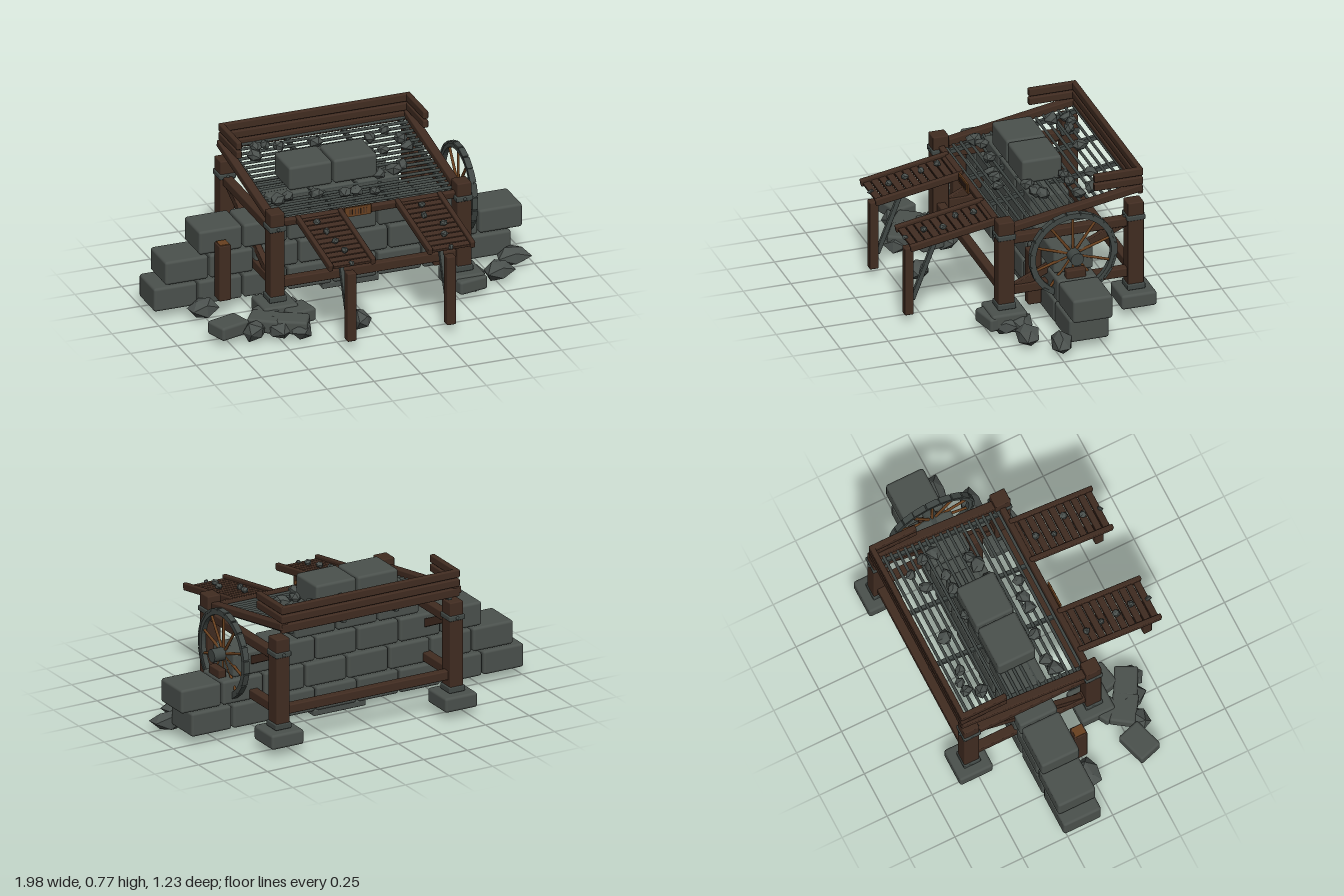
import * as THREE from 'three';
import { RoundedBoxGeometry } from 'three/addons/geometries/RoundedBoxGeometry.js';

export function createModel() {
  const root = new THREE.Group();
  const mat = (name, color, flatShading = false) => {
    const m = new THREE.MeshStandardMaterial({ color, flatShading });
    m.name = name;
    return m;
  };
  const stone = mat('stone', 0x4b514d);
  const rubble = mat('rubble stone', 0x4a504d, true);
  const wood = mat('dark wood', 0x412c21);
  const paleWood = mat('pale wood', 0x68401f);
  const metal = mat('iron', 0x414845);

  let seed = 7;
  const rnd = () => (seed = (seed * 16807) % 2147483647) / 2147483647;

  const add = (parent, name, geo, m, x = 0, y = 0, z = 0) => {
    const mesh = new THREE.Mesh(geo, m);
    mesh.name = name;
    mesh.position.set(x, y, z);
    parent.add(mesh);
    return mesh;
  };
  // Softened box given by its bounds
  const block = (parent, name, m, x0, x1, y0, y1, z0, z1, r = 0.006) => {
    const w = x1 - x0, h = y1 - y0, d = z1 - z0;
    const rad = Math.min(r, w * 0.3, h * 0.3, d * 0.3);
    return add(parent, name, new RoundedBoxGeometry(w, h, d, 2, rad), m,
      (x0 + x1) / 2, (y0 + y1) / 2, (z0 + z1) / 2);
  };
  // Beam in the side plane between two (z, y) points
  const strut = (name, m, x, w, h, z0, y0, z1, y1) => {
    const len = Math.hypot(z1 - z0, y1 - y0);
    const b = add(root, name, new RoundedBoxGeometry(w, h, len, 2, 0.004), m, x, (y0 + y1) / 2, (z0 + z1) / 2);
    b.rotation.x = -Math.atan2(y1 - y0, z1 - z0);
    return b;
  };
  // Faceted stone, with jitter that is shared by coincident corners
  const rock = (parent, name, x, y, z, sx, sy, sz, turn = rnd() * 6) => {
    const geo = new THREE.IcosahedronGeometry(1, 0);
    const p = geo.attributes.position;
    const k = rnd() * 10;
    for (let i = 0; i < p.count; i++) {
      const f = 0.9 + 0.14 * Math.sin(p.getX(i) * 4 + p.getY(i) * 7 + p.getZ(i) * 5 + k);
      p.setXYZ(i, p.getX(i) * f * sx, p.getY(i) * f * sy, p.getZ(i) * f * sz);
    }
    geo.computeVertexNormals();
    add(parent, name, geo, rubble, x, y, z).rotation.y = turn;
  };

  // Stepped masonry wall: first x, number of blocks, bottom y
  const wall = new THREE.Group();
  wall.name = 'stoneWall';
  root.add(wall);
  const bw = 0.239;
  [[-1, 8, 0.06], [-0.94, 8, 0.195], [-0.76, 6, 0.33], [-0.4, 3, 0.465], [-0.28, 2, 0.6]].forEach(([x, n, y]) => {
    for (let i = 0; i < n; i++)
      block(wall, 'wallBlock', stone, x + i * bw, x + i * bw + 0.23, y, y + 0.126, -0.27, -0.062, 0.014);
  });
  block(wall, 'footingSlab', stone, -0.1, 0.2, 0.03, 0.062, -0.26, -0.07);

  // Corner posts with footings, iron shoes and straps
  for (const x of [-0.445, 0.55]) {
    for (const z of [0.158, -0.52]) {
      block(root, 'post', wood, x - 0.038, x + 0.038, 0.14, 0.615, z - 0.042, z + 0.042);
      block(root, 'postShoe', metal, x - 0.046, x + 0.046, 0.135, 0.167, z - 0.047, z + 0.047);
      block(root, 'postStrap', metal, x - 0.045, x + 0.045, 0.517, 0.545, z - 0.048, z + 0.048);
      for (const s of [-1, 1])
        add(root, 'strapBolt', new THREE.SphereGeometry(0.009, 8, 6), metal, x, 0.531, z + s * 0.048);
      block(root, 'postFooting', stone, x - 0.092, x + 0.092, 0.055, 0.133, z - 0.092, z + 0.092, 0.014);
    }
    block(root, 'upperSideBeam', wood, x - 0.024, x + 0.024, 0.483, 0.53, -0.5, 0.14);
    block(root, 'lowerSideBeam', wood, x - 0.024, x + 0.024, 0.203, 0.252, -0.5, 0.14);
    strut('sideBrace', wood, x, 0.032, 0.042, 0.1, 0.235, -0.48, 0.505);
  }
  for (const z of [0.158, -0.52])
    block(root, 'crossBeam', wood, -0.42, 0.53, 0.2, 0.248, z - 0.022, z + 0.022);

  // Short stakes in front of the wall
  block(root, 'stake', wood, -0.685, -0.622, 0.1, 0.4, -0.05, 0.02);
  block(root, 'stake', wood, 0.46, 0.515, 0.1, 0.4, -0.05, 0.02);
  add(root, 'stakeTop', new THREE.BoxGeometry(0.05, 0.006, 0.056), paleWood, -0.653, 0.401, -0.015);

  // Sloping sieve; the tilted group has z running along the slope
  const slope = 0.175, angle = Math.atan(slope), lineY = z => 0.475 + (0.61 - z) * slope;
  const tilted = (name, zMid) => {
    const g = new THREE.Group();
    g.name = name;
    g.position.set(0, lineY(zMid), zMid);
    g.rotation.x = angle;
    root.add(g);
    return g;
  };
  const sieve = tilted('sieve', -0.19);
  for (const x of [-0.448, 0.545])
    block(sieve, 'sieveRail', wood, x - 0.022, x + 0.022, -0.019, 0.019, -0.38, 0.37);
  block(sieve, 'sieveFrontRail', wood, -0.44, 0.54, -0.03, 0.008, 0.335, 0.365);
  for (const x of [-0.405, -0.1, 0.2, 0.505])
    block(sieve, 'barSupport', metal, x - 0.011, x + 0.011, -0.045, -0.021, -0.375, 0.33, 0.003);
  for (let i = 0; i < 18; i++) {
    const bar = add(sieve, 'sieveBar', new THREE.CylinderGeometry(0.008, 0.008, 0.96, 8), metal, 0.05, -0.016, -0.355 + i * 0.04);
    bar.rotation.z = Math.PI / 2;
  }

  // Level boards round the high end
  [[0.645, 0.69], [0.697, 0.737], [0.745, 0.786]].forEach(([y0, y1], i) => {
    block(root, 'backBoard', wood, -0.46, 0.56, y0, y1, -0.567, -0.54);
    if (i) for (const x of [-0.447, 0.547])
      block(root, 'sideBoard', wood, x - 0.014, x + 0.014, y0, y1, -0.567, -0.312);
  });

  // Plain plaque at the front
  block(root, 'plaque', paleWood, -0.08, 0.06, 0.525, 0.577, 0.172, 0.182, 0.002);
  for (let i = 0; i < 7; i++)
    add(root, 'plaqueGroove', new THREE.BoxGeometry(0.004, 0.028, 0.003), wood, -0.055 + i * 0.015, 0.551, 0.183);

  // Two delivery chutes with legs
  for (const x of [-0.21, 0.32]) {
    const chute = tilted('chute', 0.38);
    chute.position.x = x;
    for (const s of [-1, 1])
      block(chute, 'chuteRail', wood, s * 0.113 - 0.012, s * 0.113 + 0.012, -0.02, 0.018, -0.234, 0.234);
    for (let i = 0; i < 11; i++)
      block(chute, 'chuteSlat', wood, -0.105, 0.105, -0.014, 0.001, -0.23 + i * 0.0418, -0.193 + i * 0.0418, 0.003);
    for (let i = 0; i < 4; i++)
      rock(chute, 'chutePebble', (rnd() - 0.5) * 0.08, 0.015, -0.15 + i * 0.09, 0.021, 0.02, 0.021);
    rock(chute, 'chutePebble', 0, 0, 0.22, 0.02, 0.016, 0.014);
    block(root, 'chuteLeg', wood, x - 0.024, x + 0.024, 0.055, 0.427, 0.56, 0.607);
    strut('legBrace', metal, x, 0.022, 0.024, 0.562, 0.13, 0.438, 0.447);
  }

  // Wheel on the right end: iron rim plates, wooden spokes, hub and shaft
  const wheel = new THREE.Group();
  wheel.name = 'wheel';
  wheel.position.set(0.66, 0.425, -0.163);
  root.add(wheel);
  const ring = new THREE.Shape().absarc(0, 0, 0.224, 0, Math.PI * 2);
  ring.holes.push(new THREE.Path().absarc(0, 0, 0.198, 0, Math.PI * 2, true));
  const rimGeo = new THREE.ExtrudeGeometry(ring, { depth: 0.026, bevelEnabled: false, curveSegments: 32 });
  rimGeo.translate(0, 0, -0.013).rotateY(Math.PI / 2);
  add(wheel, 'rim', rimGeo, metal);
  for (let i = 0; i < 20; i++) {
    const a = i / 20 * Math.PI * 2;
    const plate = add(wheel, 'rimPlate', new THREE.BoxGeometry(0.031, 0.012, 0.064), metal, 0, Math.cos(a) * 0.222, Math.sin(a) * 0.222);
    plate.rotation.x = a;
  }
  for (let i = 0; i < 10; i++) {
    const a = i / 10 * Math.PI * 2;
    const spoke = add(wheel, 'spoke', new THREE.CylinderGeometry(0.007, 0.008, 0.19, 8), paleWood, 0, Math.cos(a) * 0.108, Math.sin(a) * 0.108);
    spoke.rotation.x = a;
  }
  add(wheel, 'hub', new THREE.CylinderGeometry(0.034, 0.034, 0.11, 16), metal, 0.015).rotation.z = Math.PI / 2;
  add(wheel, 'shaft', new THREE.CylinderGeometry(0.02, 0.02, 0.2, 12), metal, -0.08).rotation.z = Math.PI / 2;
  block(root, 'shaftBearing', wood, 0.675, 0.717, 0.31, 0.362, -0.215, -0.112);

  // Stones lying on the sieve, as x, z pairs
  [[-0.33, -0.39], [-0.3, -0.46], [-0.25, -0.47], [-0.19, -0.44], [0, -0.43], [0.07, -0.28], [0.28, -0.39], [0.37, -0.43],
    [0.42, -0.34], [0.3, -0.27], [0.22, -0.27], [0.43, -0.27], [0.29, -0.1], [0.34, -0.12], [0.2, -0.08], [-0.31, -0.02],
    [-0.16, -0.01], [-0.02, 0.03], [0.13, 0.05], [0.04, 0.03], [-0.37, 0]].forEach(([x, z]) => {
    const r = 0.03 + rnd() * 0.014;
    rock(root, 'sieveStone', x, lineY(z) + 0.012, z, r * 1.15, r * 0.85, r);
  });

  // Fallen squared blocks: x, z, width, depth, turn
  [[-0.74, 0.28, 0.17, 0.13, 0.3], [-0.55, 0.29, 0.16, 0.13, -0.6], [-0.49, 0.2, 0.15, 0.12, 0.5], [-0.43, 0.36, 0.16, 0.12, -0.5],
    [-0.36, 0.25, 0.14, 0.13, 0.2], [0.56, 0.22, 0.16, 0.12, 0.2]].forEach(([x, z, w, d, t]) => {
    add(root, 'fallenBlock', new RoundedBoxGeometry(w, 0.072, d, 2, 0.014), stone, x, 0.085, z).rotation.y = t;
  });

  // Rough boulders: x, z, half sizes, turn
  [[-0.76, -0.01, 0.085, 0.06, 0.1], [-0.62, 0.33, 0.09, 0.07, 0.5], [-0.5, 0.36, 0.09, 0.08, 2], [-0.4, 0.4, 0.07, 0.06, 1],
    [-0.08, 0.39, 0.05, 0.075, 0.4], [0.63, 0.1, 0.07, 0.07, 0.4], [0.77, 0.11, 0.09, 0.065, 0.1],
    [0.9, -0.02, 0.1, 0.06, -0.1], [0.62, 0.17, 0.07, 0.06, 1.2], [-0.36, 0.15, 0.07, 0.07, 0.8]].forEach(([x, z, a, b, t]) => {
    rock(root, 'boulder', x, 0.068, z, a, 0.062, b, t);
  });
  return root;
}
